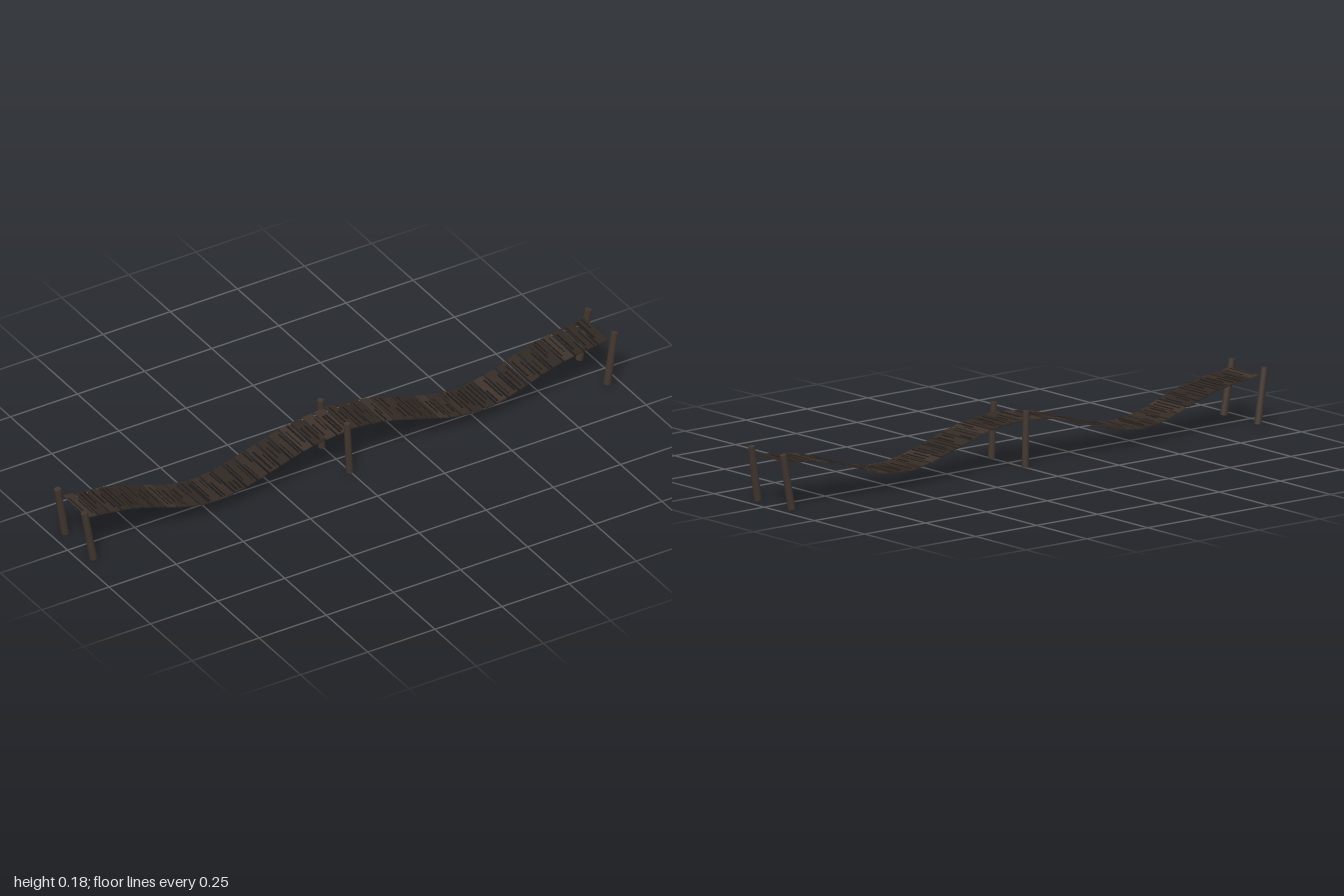
import * as THREE from 'three';

const mat = (name, color) => {
  const m = new THREE.MeshStandardMaterial({ color });
  m.name = name;
  return m;
};

export function createModel() {
  const bridge = new THREE.Group();
  bridge.name = 'plankBridge';

  const postWood = mat('post wood', 0x40352e);
  const plankWoods = [
    mat('brown plank wood', 0x3d322b),
    mat('dark plank wood', 0x2f2722),
    mat('weathered plank wood', 0x352b25),
  ];
  const grainWood = mat('dark grain', 0x1e1916);

  let seed = 7;
  const rand = () => (seed = (seed * 16807) % 2147483647) / 2147483647;

  // One sagging span, used twice along the walkway
  const sag = new THREE.CatmullRomCurve3([
    [0, 0.156], [0.17, 0.132], [0.27, 0.103], [0.39, 0.065], [0.485, 0.053],
    [0.58, 0.064], [0.7, 0.097], [0.83, 0.134], [0.975, 0.152],
  ].map(([x, y]) => new THREE.Vector3(x, y, 0)));

  // Planks laid evenly along the span, each tilted to follow it
  const COUNT = 23, WIDTH = 0.036, THICK = 0.004, LENGTH = 0.147;
  const plankGeo = new THREE.BoxGeometry(WIDTH, THICK, LENGTH);
  const addSpan = (name, side, z) => {
    const span = new THREE.Group();
    span.name = name;
    for (let i = 0; i < COUNT; i++) {
      const u = (i + 0.5) / COUNT;
      const p = sag.getPointAt(u), t = sag.getTangentAt(u);
      const plank = new THREE.Group();
      plank.name = 'plank';
      const board = new THREE.Mesh(plankGeo, plankWoods[Math.floor(rand() * 3)]);
      board.name = 'board';
      plank.add(board);
      // Dark grain streaks running along the plank, on top and underside
      for (let k = 0; k < 2; k++) {
        const len = LENGTH * (0.35 + 0.5 * rand());
        const streak = new THREE.Mesh(
          new THREE.BoxGeometry(0.003 + 0.005 * rand(), THICK + 0.0008, len), grainWood);
        streak.name = 'grainStreak';
        streak.position.set((k - 0.5) * 0.018 + (rand() - 0.5) * 0.008, 0,
          (rand() - 0.5) * (LENGTH - len));
        plank.add(streak);
      }
      plank.position.set(side * (0.975 - p.x), p.y, z);
      plank.rotation.z = -side * Math.atan2(t.y, t.x);
      span.add(plank);
    }
    bridge.add(span);
  };
  addSpan('rightSpan', -1, 0.001);
  addSpan('leftSpan', 1, -0.003);

  // Round posts leaning from foot to head
  const addPost = (name, foot, head, radius) => {
    const a = new THREE.Vector3(...foot), b = new THREE.Vector3(...head);
    const dir = b.clone().sub(a);
    const post = new THREE.Mesh(
      new THREE.CylinderGeometry(radius * 0.93, radius, dir.length(), 12), postWood);
    post.name = name;
    post.position.copy(a).add(b).multiplyScalar(0.5);
    post.quaternion.setFromUnitVectors(new THREE.Vector3(0, 1, 0), dir.normalize());
    bridge.add(post);
  };
  for (const s of [1, -1]) {
    const end = s > 0 ? 'front' : 'back';
    addPost(end + 'LeftPost', [0.957, 0.002, s * 0.084], [0.988, 0.182, s * 0.079], 0.0125);
    addPost(end + 'RightPost', [-0.957, 0.002, s * 0.085], [-0.988, 0.182, s * 0.081], 0.0125);
    addPost(end + 'MiddlePost', [-0.002, 0, s * 0.084], [-0.009, 0.182, s * 0.08], 0.0115);
  }

  return bridge;
}
